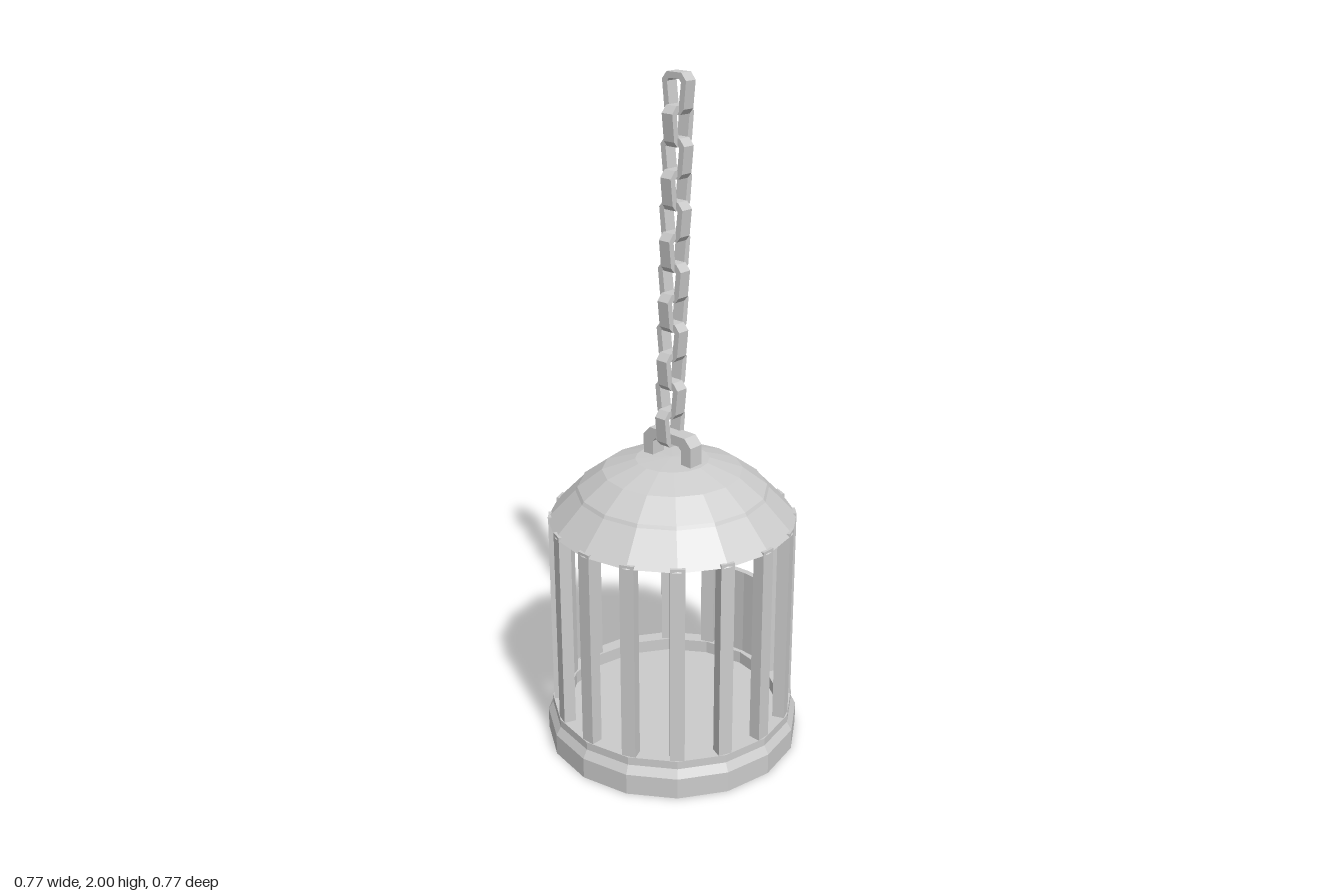
import * as THREE from 'three';

const SIDES = 16;
const material = new THREE.MeshStandardMaterial({ color: 0xcccccc, flatShading: true });

function add(parent, name, geometry) {
  const flat = geometry.index ? geometry.toNonIndexed() : geometry;
  flat.computeVertexNormals();
  const mesh = new THREE.Mesh(flat, material);
  mesh.name = name;
  parent.add(mesh);
  return mesh;
}

function lathe(points) {
  return new THREE.LatheGeometry(points.map(([r, y]) => new THREE.Vector2(r, y)), SIDES);
}

const toPoints = (pts) => pts.map(([x, y]) => new THREE.Vector2(x, y));

// Extrudes an outline with an optional hole, centred on its depth
function plate(outline, depth, hole) {
  const shape = new THREE.Shape(toPoints(outline));
  if (hole) shape.holes.push(new THREE.Path(toPoints(hole)));
  return new THREE.ExtrudeGeometry(shape, { depth, bevelEnabled: false }).translate(0, 0, -depth / 2);
}

// Curved slab around the cage axis between two angles (0 faces +x)
function curvedSlab(a0, a1, y0, y1, rIn = 0.338, rOut = 0.358) {
  const steps = Math.max(1, Math.round((a1 - a0) / 0.17));
  const arc = (r) => Array.from({ length: steps + 1 }, (_, i) => {
    const a = a0 + ((a1 - a0) * i) / steps;
    return [r * Math.cos(a), r * Math.sin(a)];
  });
  return plate([...arc(rOut), ...arc(rIn).reverse()], y1 - y0)
    .rotateX(-Math.PI / 2).translate(0, (y0 + y1) / 2, 0);
}

function createDoor() {
  const door = new THREE.Group();
  door.name = 'door';
  const half = 0.32, window = 0.215;
  add(door, 'doorPanel', curvedSlab(-half, half, 0.115, 0.4));
  add(door, 'doorTopRail', curvedSlab(-half, half, 0.53, 0.575));
  for (const s of [-1, 1]) {
    const [a, b] = s < 0 ? [-half, -window] : [window, half];
    add(door, 'doorStile', curvedSlab(a, b, 0.4, 0.53));
  }
  // Hinges on the front edge of the door
  for (const y of [0.23, 0.53]) {
    add(door, 'doorHinge', new THREE.BoxGeometry(0.02, 0.045, 0.02)).position.set(0.345, y, 0.112);
  }
  return door;
}

function createChain() {
  const chain = new THREE.Group();
  chain.name = 'chain';
  const outer = [[-0.022, -0.055], [0.022, -0.055], [0.035, -0.04], [0.043, 0.035],
    [0.026, 0.055], [-0.026, 0.055], [-0.043, 0.035], [-0.035, -0.04]];
  const inner = [[-0.017, -0.038], [0.017, -0.038], [0.025, 0.03], [0.018, 0.038],
    [-0.018, 0.038], [-0.025, 0.03]];
  const count = 12;
  for (let i = 0; i < count; i++) {
    const t = i / (count - 1);
    const link = add(chain, 'chainLink', plate(outer, 0.038, inner));
    // Links alternate by a quarter turn and the chain leans slightly
    link.rotation.y = i % 2 ? Math.PI / 2 : 0;
    link.position.set(-0.006 + 0.034 * t, 1.005 + 0.94 * t, -0.003);
  }
  return chain;
}

export function createModel() {
  const model = new THREE.Group();
  model.name = 'hangingCage';

  // Base tray with recessed floor
  add(model, 'base', lathe([[0, 0], [0.385, 0], [0.385, 0.065], [0.37, 0.09], [0.37, 0.115],
    [0.325, 0.115], [0.325, 0.075], [0, 0.075]]));

  // Domed roof
  add(model, 'roof', lathe([[0, 0.72], [0.368, 0.72], [0.284, 0.808], [0.278, 0.818],
    [0.205, 0.873], [0.108, 0.905], [0, 0.91]]));

  // Bars at every corner except the doorway
  const bars = new THREE.Group();
  bars.name = 'bars';
  for (let i = 1; i < SIDES; i++) {
    const a = (i / SIDES) * Math.PI * 2;
    const bar = add(bars, 'bar', new THREE.BoxGeometry(0.036, 0.625, 0.042));
    bar.position.set(0.347 * Math.cos(a), 0.4175, 0.347 * Math.sin(a));
    bar.rotation.y = -a;
  }
  model.add(bars);

  model.add(createDoor());

  // Hanging bracket on the roof
  const bracket = plate(
    [[-0.092, 0.885], [-0.055, 0.885], [-0.055, 0.95], [-0.045, 0.96], [0.045, 0.96], [0.055, 0.95],
      [0.055, 0.885], [0.092, 0.885], [0.092, 0.965], [0.068, 0.99], [-0.068, 0.99], [-0.092, 0.965]],
    0.048);
  add(model, 'hangingBracket', bracket.rotateY(Math.PI / 2));

  model.add(createChain());
  return model;
}
